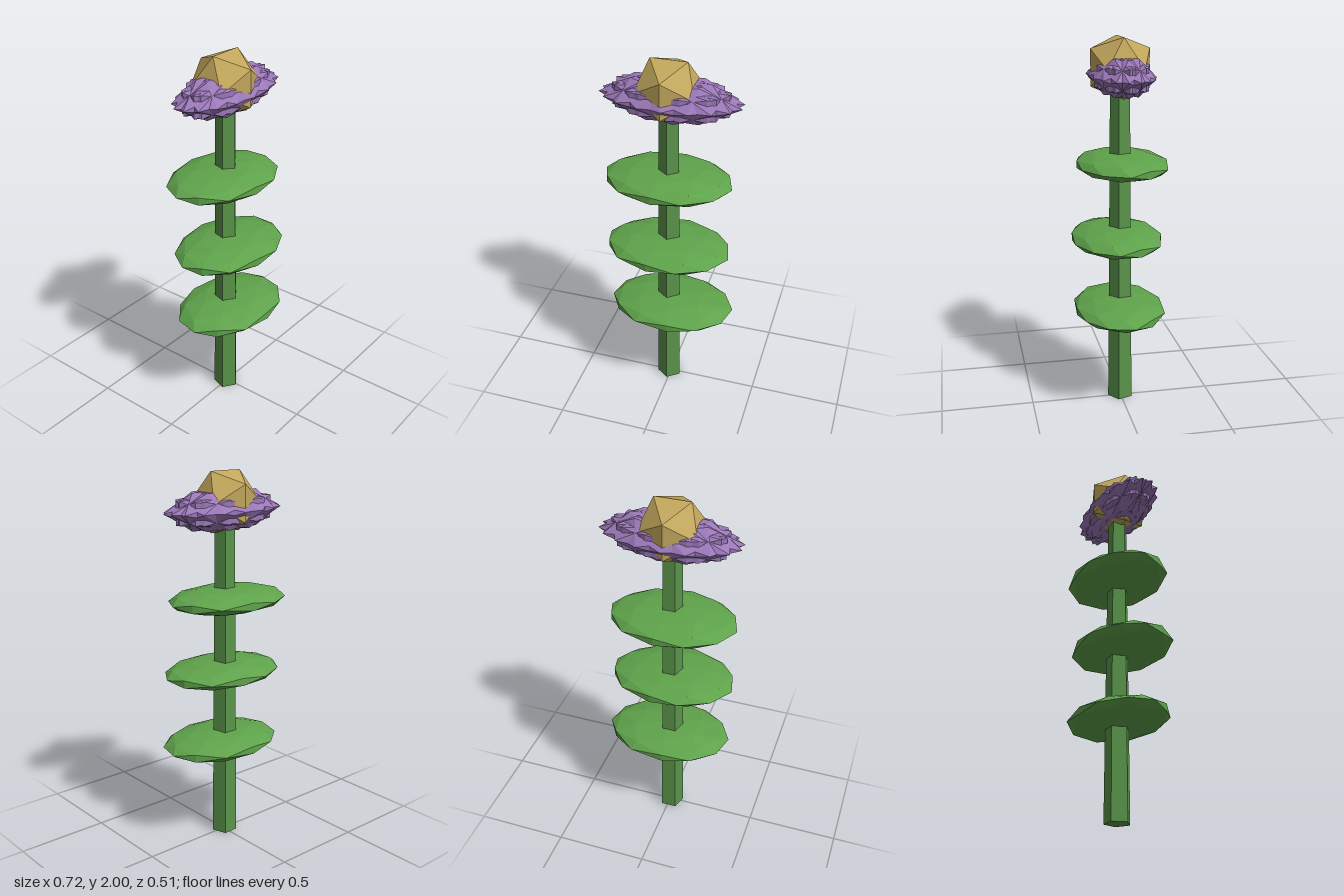
import * as THREE from 'three';

const paint = (color) => new THREE.MeshStandardMaterial({ color, flatShading: true });

export function createModel() {
  const flower = new THREE.Group();
  flower.name = 'flower';
  const stemGreen = paint(0x5a944a);
  const leafGreen = paint(0x5fa34b);
  const purple = paint(0x9b78b8);
  const gold = paint(0xc2a75c);

  // Adds a mesh inside a stretched holder, so the turn happens before the stretch
  const addBlob = (name, detail, material, pos, size, turn) => {
    const holder = new THREE.Group();
    holder.name = name;
    holder.position.set(...pos);
    holder.scale.set(...size);
    const mesh = new THREE.Mesh(new THREE.IcosahedronGeometry(1, detail), material);
    mesh.name = name;
    mesh.rotation.y = turn;
    holder.add(mesh);
    flower.add(holder);
    return mesh;
  };

  // Five-sided tapering stem
  const stem = new THREE.Mesh(new THREE.CylinderGeometry(0.054, 0.07, 1.8, 5), stemGreen);
  stem.name = 'stem';
  stem.position.set(-0.008, 0.9, 0);
  flower.add(stem);

  // Three flattened leaf discs: x, y, z, turn
  const leaves = [
    [0.01, 0.545, 0.013, -0.45],
    [-0.01, 0.94, 0.022, -0.72],
    [-0.02, 1.34, -0.01, -0.64],
  ];
  for (const [x, y, z, turn] of leaves) {
    addBlob('leaf', 1, leafGreen, [x, y, z], [0.345, 0.066, 0.25], turn);
  }

  // Spiky bloom: nine overlapping petals turned about the stem
  const petals = 9;
  for (let i = 0; i < petals; i++) {
    const a = (i / petals) * Math.PI * 2;
    const petal = addBlob('petal', 0, purple, [-0.003, 1.805, 0], [0.35, 0.112, 0.163], -a);
    petal.position.set(0.06 * Math.cos(a), 0, 0.06 * Math.sin(a));
  }

  // Faceted flower centre
  const centre = new THREE.Mesh(new THREE.IcosahedronGeometry(0.182, 0), gold);
  centre.name = 'flowerCentre';
  centre.position.set(-0.013, 1.845, 0);
  flower.add(centre);

  return flower;
}
